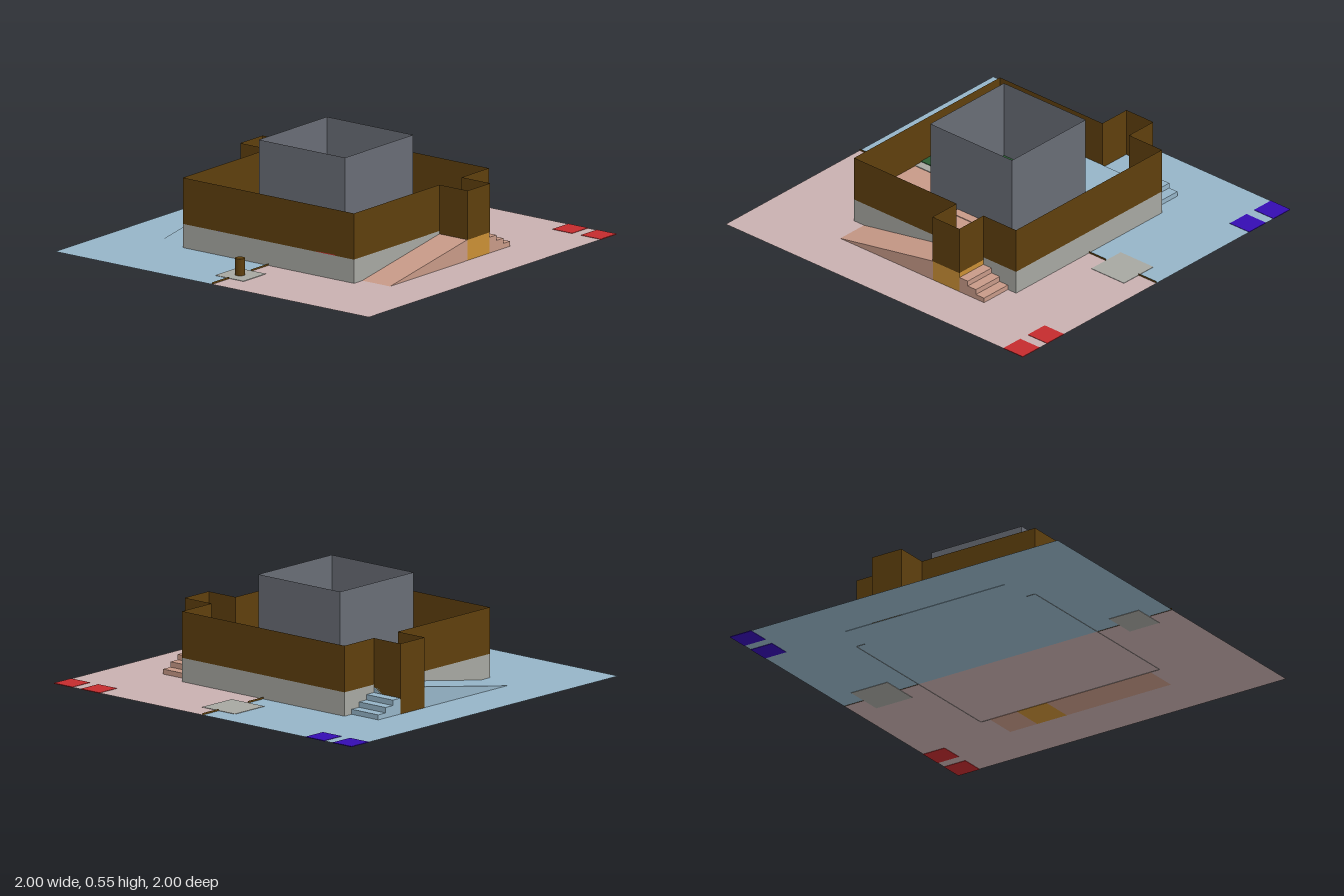
import * as THREE from 'three';

const mat = (name, color) => {
  const m = new THREE.MeshStandardMaterial({ color, side: THREE.DoubleSide });
  m.name = name;
  return m;
};

export function createModel() {
  const root = new THREE.Group();
  root.name = 'fort';
  const M = {
    sky: mat('pale blue', 0x95b4c7),
    pink: mat('pale pink', 0xc8b0b0),
    salmon: mat('salmon', 0xc79987),
    stone: mat('light grey', 0xa6a7a1),
    slate: mat('slate grey', 0x686c75),
    brown: mat('brown', 0x5e3f0d),
    gold: mat('gold', 0xc98f35),
    red: mat('red', 0xc42b2d),
    blue: mat('deep blue', 0x350cb2),
    green: mat('green', 0x2b5e34),
  };
  const add = (name, geo, material, x = 0, y = 0, z = 0) => {
    const mesh = new THREE.Mesh(geo, material);
    mesh.name = name;
    mesh.position.set(x, y, z);
    root.add(mesh);
    return mesh;
  };
  // Flat rectangle facing up
  const floor = (name, x0, x1, z0, z1, y, material) =>
    add(name, new THREE.PlaneGeometry(x1 - x0, z1 - z0).rotateX(-Math.PI / 2),
      material, (x0 + x1) / 2, y, (z0 + z1) / 2);
  // Thin plate marking, seen from above and below
  const plate = (name, x, z, w, d, y, material) =>
    add(name, new THREE.BoxGeometry(w, 0.004, d), material, x, y + 0.002, z);
  // Upright sheet between two plan points
  const wall = (name, x0, z0, x1, z1, y0, y1, material) => {
    const m = add(name, new THREE.PlaneGeometry(Math.hypot(x1 - x0, z1 - z0), y1 - y0),
      material, (x0 + x1) / 2, (y0 + y1) / 2, (z0 + z1) / 2);
    m.rotation.y = Math.atan2(z0 - z1, x1 - x0);
  };

  const R = 0.545, OUT = 0.725, DECK = 0.125, TOP = 0.365, LAND = 0.11;
  const BX0 = 0.145, BX1 = 0.325;

  // Ground and raised deck, one half per side
  floor('groundFront', -1, 1, 0, 1, 0.002, M.pink);
  floor('groundBack', -1, 1, -1, 0, 0.002, M.sky);
  floor('deckFront', -R, R, 0, R, DECK, M.salmon);
  floor('deckBack', -R, R, -R, 0, DECK, M.sky);

  // Straight side walls: stone base with brown parapet
  for (const s of [-1, 1]) {
    wall('sideBase', s * R, R, s * R, -R, 0, DECK, M.stone);
    wall('sideParapet', s * R, R, s * R, -R, DECK, TOP, M.brown);
  }

  // Front and back: walls with projecting bay, ramp and stairs
  for (const s of [1, -1]) {
    const z = s * R, zo = s * OUT, body = s > 0 ? M.salmon : M.sky;
    wall('endBase', -R, z, R, z, 0, DECK, M.stone);
    wall('endParapetLong', -R, z, BX0, z, DECK, TOP, M.brown);
    wall('endParapetShort', BX1, z, R, z, DECK, TOP, M.brown);
    wall('bayFront', BX0, zo, BX1, zo, s > 0 ? LAND : 0, TOP, M.brown);
    for (const x of [BX0, BX1]) wall('baySide', x, z, x, zo, LAND, TOP, M.brown);

    const extrude = (pts) => new THREE.ExtrudeGeometry(
      new THREE.Shape(pts.map(([x, y]) => new THREE.Vector2(x, y))),
      { depth: OUT - R - 0.002, bevelEnabled: false });
    const zStart = s > 0 ? R : -OUT + 0.002;
    add('ramp', extrude([[-0.49, 0], [BX0, 0], [BX0, LAND]]), body, 0, 0, zStart);
    add('landing', extrude([[BX0, 0], [BX1, 0], [BX1, LAND], [BX0, LAND]]),
      s > 0 ? M.gold : M.sky, 0, 0, zStart);
    const steps = [[BX1, 0]];
    for (let i = 0; i < 3; i++) {
      const h = 0.028 * (3 - i);
      steps.push([BX1 + i * 0.055, h], [BX1 + (i + 1) * 0.055, h]);
    }
    steps.push([0.49, 0]);
    add('stairs', extrude(steps), body, 0, 0, zStart);
    if (s < 0) wall('bayStairSide', BX1, z, BX1, zo, 0.08, LAND, M.brown);

    // Tower threshold and coloured ground marks
    plate('threshold', 0, s * 0.3, 0.18, 0.05, DECK, s > 0 ? M.salmon : M.sky);
    const mark = s > 0 ? M.red : M.blue;
    for (const mz of [0.755, 0.937]) plate('cornerMark', 0.935, s * mz, 0.13, 0.126, 0, mark);
    plate('deckMark', -0.48, s * 0.365, 0.13, 0.126, DECK, mark);
  }

  // Open tower
  const T = 0.275;
  floor('towerFloor', -T, T, -T, T, DECK + 0.005, M.stone);
  for (const s of [-1, 1]) {
    wall('towerWall', -T, s * T, T, s * T, DECK, 0.55, M.slate);
    wall('towerWall', s * T, -T, s * T, T, DECK, 0.55, M.slate);
  }

  // Grey and green pads
  plate('groundPad', -0.77, 0, 0.18, 0.18, 0, M.stone);
  plate('groundPad', 0.77, 0, 0.22, 0.22, 0, M.stone);
  for (const sx of [-1, 1]) {
    plate('deckPad', sx * 0.479, 0, 0.13, 0.18, DECK, M.stone);
    for (const sz of [-1, 0, 1]) plate('greenPad', sx * 0.499, sz * 0.499, 0.09, 0.09, DECK + 0.005, M.green);
    for (const sz of [-1, 1]) plate('towerGreenPad', sx * 0.229, sz * 0.229, 0.09, 0.09, DECK + 0.006, M.green);
  }

  // Low centre-line strips
  for (const [a, b] of [[-1, -0.865], [-0.685, -R], [R, 0.66], [0.88, 1]])
    wall('centreStrip', a, 0, b, 0, 0, 0.012, M.brown);

  // Posts
  const post = new THREE.CylinderGeometry(0.025, 0.025, 0.09, 16);
  add('sidePost', post, M.brown, -0.775, 0.046, 0);
  add('towerPost', post, M.brown, 0, DECK + 0.046, 0);

  return root;
}
